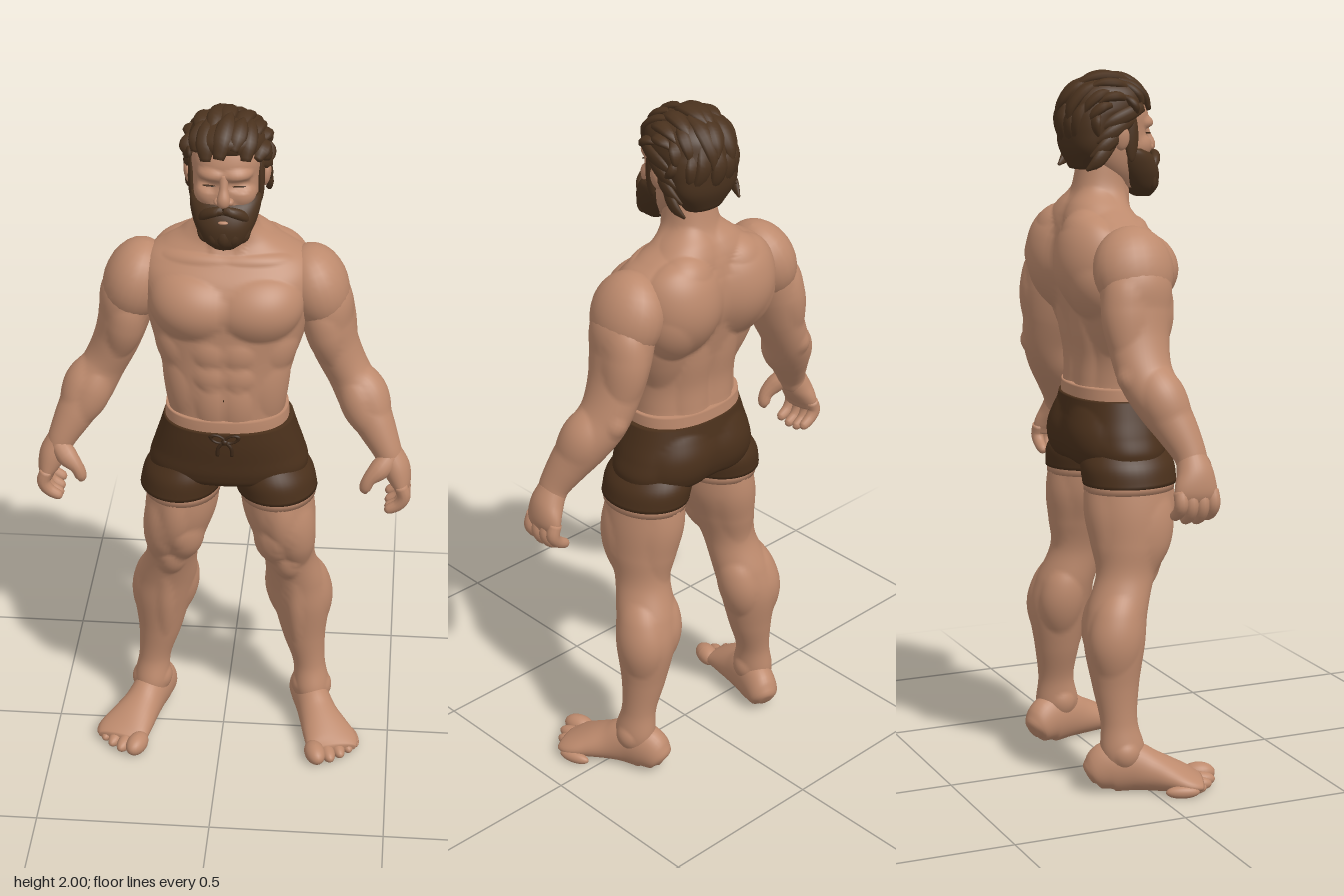
import * as THREE from 'three';

const mat = (name, color) => Object.assign(new THREE.MeshStandardMaterial({ color }), { name });
const V = (x, y, z) => new THREE.Vector3(x, y, z);

// Smooth skin through cross-sections [x, y, z, rx, rz, squareness]; flat keeps the rings level.
function loft(sections, { around = 24, along = 24, flat = false, bumps = [] } = {}) {
  const curve = (f) => new THREE.CatmullRomCurve3(sections.map(f), false, 'catmullrom', 0.5);
  const path = curve((s) => V(s[0], s[1], s[2]));
  const size = curve((s) => V(s[3], s[4], s[5] ?? 2));
  const up = Math.sign(sections[sections.length - 1][1] - sections[0][1]);
  const pos = [], idx = [];
  for (let i = 0; i <= along; i++) {
    const c = path.getPoint(i / along), r = size.getPoint(i / along);
    const t = flat ? V(0, up, 0) : path.getTangent(i / along);
    const u = V(1, 0, 0).addScaledVector(t, -t.x).normalize();
    const v = t.clone().cross(u);
    for (let j = 0; j < around; j++) {
      const a = (j / around) * Math.PI * 2;
      const pw = (k) => Math.sign(k) * Math.abs(k) ** (2 / r.z);
      const p = c.clone().addScaledVector(u, pw(Math.cos(a)) * r.x).addScaledVector(v, pw(Math.sin(a)) * r.y);
      pos.push(p.x, p.y, p.z);
      if (i < along) {
        const k = i * around, n = (j + 1) % around;
        idx.push(k + j, k + n, k + around + j, k + n, k + around + n, k + around + j);
      }
    }
  }
  // End caps
  const first = path.getPoint(0), last = path.getPoint(1), e = pos.length / 3, b = along * around;
  pos.push(first.x, first.y, first.z, last.x, last.y, last.z);
  for (let j = 0; j < around; j++) {
    const n = (j + 1) % around;
    idx.push(e, n, j, e + 1, b + j, b + n);
  }
  const g = new THREE.BufferGeometry();
  g.setAttribute('position', new THREE.Float32BufferAttribute(pos, 3));
  g.setIndex(idx);
  g.computeVertexNormals();
  return bumps.length ? flex(g, bumps) : g;
}

// Raise muscles: each bump is [x, y, z, rx, ry, rz, height], the same on both sides of x = 0.
function flex(g, bumps) {
  const p = g.attributes.position, n = g.attributes.normal;
  for (let i = 0; i < p.count; i++) {
    let h = 0;
    for (const [x, y, z, rx, ry, rz, amp] of bumps) {
      const d = ((Math.abs(p.getX(i)) - x) / rx) ** 2 + ((p.getY(i) - y) / ry) ** 2 + ((p.getZ(i) - z) / rz) ** 2;
      h += amp * Math.max(0, 1 - d);
    }
    p.setXYZ(i, p.getX(i) + n.getX(i) * h, p.getY(i) + n.getY(i) * h, p.getZ(i) + n.getZ(i) * h);
  }
  g.computeVertexNormals();
  return g;
}

// Level rings given as [y, half width, front z, back z].
const rings = (rows, n = 2) => rows.map(([y, w, f, b]) => [0, y, (f + b) / 2, w, (f - b) / 2, n]);
const ball = (x, y, z, sx, sy, sz, rz = 0) =>
  new THREE.SphereGeometry(1, 24, 16).scale(sx, sy, sz).rotateZ(rz).translate(x, y, z);

function mirrored(geo) {
  const g = geo.clone().scale(-1, 1, 1), a = g.index.array;
  for (let i = 0; i < a.length; i += 3) [a[i], a[i + 1]] = [a[i + 1], a[i]];
  g.computeVertexNormals();
  return g;
}

export function createModel() {
  const skin = mat('skin', 0xbd8a6d), hair = mat('hair', 0x4a321e);
  const cloth = mat('shorts cloth', 0x4a301b), cord = mat('cord', 0x3a2616);
  const model = new THREE.Group();
  const section = (name, x) => {
    const g = new THREE.Group();
    g.name = name;
    g.position.x = x;
    model.add(g);
    return g;
  };
  const add = (parent, name, geo, m = skin) => {
    const mesh = new THREE.Mesh(geo, m);
    mesh.name = name;
    parent.add(mesh);
  };
  const pair = (parent, name, geo, m = skin) => {
    add(parent, name + 'Left', geo, m);
    add(parent, name + 'Right', mirrored(geo), m);
  };

  // Torso and neck
  const trunk = section('trunk', 0.012);
  add(trunk, 'torso', loft(rings([
    [0.98, 0.16, 0.11, -0.12], [1.08, 0.165, 0.125, -0.12], [1.15, 0.165, 0.13, -0.112], [1.22, 0.172, 0.133, -0.112],
    [1.3, 0.192, 0.133, -0.13], [1.38, 0.215, 0.135, -0.15], [1.46, 0.232, 0.135, -0.168], [1.53, 0.238, 0.11, -0.168],
    [1.575, 0.222, 0.075, -0.16], [1.605, 0.175, 0.05, -0.15], [1.635, 0.122, 0.037, -0.135], [1.675, 0.08, 0.038, -0.112],
    [1.74, 0.068, 0.04, -0.098], [1.8, 0.066, 0.03, -0.09]], 2.3), {
    around: 112, along: 130, flat: true, bumps: [
      [0.112, 1.468, 0.12, 0.122, 0.09, 0.11, 0.031], // chest
      [0.1, 1.593, 0.06, 0.13, 0.014, 0.06, 0.006], // collarbone
      [0.04, 1.335, 0.135, 0.045, 0.04, 0.06, 0.008], [0.04, 1.265, 0.135, 0.045, 0.04, 0.06, 0.009],
      [0.036, 1.175, 0.135, 0.045, 0.07, 0.06, 0.009], // stomach
      [0.14, 1.21, 0.07, 0.06, 0.085, 0.07, 0.01], [0.16, 1.33, 0.07, 0.05, 0.05, 0.06, 0.008],
      [0.125, 1.48, -0.14, 0.125, 0.15, 0.11, 0.05], // shoulder blades
      [0.175, 1.35, -0.09, 0.08, 0.14, 0.1, 0.016], [0.055, 1.2, -0.11, 0.055, 0.18, 0.06, 0.013],
      [0.07, 1.62, -0.1, 0.07, 0.07, 0.09, 0.01], [0.035, 1.66, 0.03, 0.018, 0.08, 0.04, 0.007]] }));
  add(trunk, 'waistFold', loft(rings([[1.08, 0.176, 0.138, -0.13], [1.115, 0.174, 0.138, -0.128], [1.135, 0.172, 0.137, -0.127]], 2.3),
    { around: 64, along: 6, flat: true }));
  add(trunk, 'navel', ball(0, 1.2, 0.131, 0.006, 0.008, 0.004), cord);

  // Shorts
  const shorts = section('shorts', 0.016);
  add(shorts, 'seat', loft(rings([[1.1, 0.182, 0.144, -0.132], [1.05, 0.197, 0.143, -0.14], [1.0, 0.213, 0.138, -0.147],
    [0.95, 0.226, 0.132, -0.142], [0.915, 0.205, 0.115, -0.125], [0.89, 0.1, 0.06, -0.07]], 2.3),
  { around: 72, along: 44, flat: true, bumps: [[0.095, 0.985, -0.14, 0.095, 0.095, 0.1, 0.016]] }), cloth);
  pair(shorts, 'shortsLeg', loft([[0.115, 0.97, -0.003, 0.085, 0.11], [0.127, 0.92, -0.003, 0.113, 0.134], [0.138, 0.865, 0, 0.116, 0.135]],
    { around: 40, along: 12, flat: true }), cloth);
  add(shorts, 'cordKnot', ball(0, 1.078, 0.147, 0.01, 0.01, 0.01), cord);
  pair(shorts, 'cordLoop', new THREE.TorusGeometry(0.015, 0.005, 8, 18).scale(1.3, 0.7, 1).rotateZ(0.35).translate(0.02, 1.087, 0.148), cord);
  pair(shorts, 'cordEnd', loft([[0.003, 1.078, 0.148, 0.005, 0.005], [0.018, 1.06, 0.15, 0.005, 0.005], [0.02, 1.035, 0.15, 0.005, 0.005]],
    { around: 8, along: 10 }), cord);

  // Legs
  const legs = section('legs', 0.02);
  pair(legs, 'leg', loft([
    [0.125, 0.93, 0, 0.098, 0.122], [0.14, 0.8, 0, 0.104, 0.125], [0.158, 0.7, -0.005, 0.09, 0.108], [0.172, 0.61, -0.025, 0.075, 0.085],
    [0.191, 0.51, -0.06, 0.086, 0.086], [0.207, 0.42, -0.075, 0.085, 0.086], [0.217, 0.3, -0.076, 0.064, 0.066],
    [0.234, 0.2, -0.073, 0.048, 0.053], [0.243, 0.12, -0.066, 0.053, 0.064], [0.243, 0.055, -0.065, 0.042, 0.05]], {
    around: 56, along: 110, flat: true, bumps: [
      [0.115, 0.69, 0.07, 0.05, 0.075, 0.08, 0.018], [0.21, 0.72, 0.06, 0.05, 0.11, 0.08, 0.014],
      [0.155, 0.78, 0.12, 0.04, 0.1, 0.06, 0.009], [0.167, 0.61, 0.055, 0.04, 0.05, 0.05, 0.014],
      [0.12, 0.45, -0.11, 0.055, 0.1, 0.08, 0.017], [0.265, 0.46, -0.11, 0.055, 0.12, 0.09, 0.014],
      [0.19, 0.42, 0.01, 0.025, 0.16, 0.04, 0.008], [0.14, 0.75, -0.12, 0.08, 0.14, 0.06, 0.01],
      [0.295, 0.11, -0.07, 0.03, 0.035, 0.04, 0.008], [0.19, 0.12, -0.06, 0.03, 0.035, 0.04, 0.008]] }));
  pair(legs, 'thighFold', loft([[0.135, 0.88, 0, 0.109, 0.13], [0.137, 0.845, 0, 0.109, 0.13]], { around: 40, along: 3, flat: true }));

  // Feet turned outward, soles flattened
  const plant = (g) => {
    g.rotateY(0.31).translate(0.24, 0, -0.07);
    const p = g.attributes.position;
    for (let i = 0; i < p.count; i++) p.setY(i, Math.max(p.getY(i), 0));
    g.computeVertexNormals();
    return g;
  };
  pair(legs, 'foot', plant(loft([
    [0, 0.04, -0.09, 0.02, 0.022], [0, 0.05, -0.075, 0.044, 0.05], [0, 0.07, -0.03, 0.052, 0.074], [0, 0.068, 0.03, 0.053, 0.072],
    [0.003, 0.054, 0.085, 0.059, 0.058], [0.01, 0.041, 0.14, 0.071, 0.045], [0.017, 0.029, 0.19, 0.079, 0.031], [0.016, 0.022, 0.225, 0.066, 0.018]],
  { around: 36, along: 36 })));
  [[-0.045, 0.275, 0.03], [-0.006, 0.27, 0.022], [0.029, 0.256, 0.021], [0.06, 0.237, 0.02], [0.087, 0.214, 0.018]].forEach(([x, tip, r], i) =>
    pair(legs, 'toe' + (i + 1), plant(ball(x, r * 0.85, tip - 0.048, r, r, 0.048))));

  // Arms and hands
  const arms = section('arms', 0.004);
  pair(arms, 'shoulder', ball(0.25, 1.478, -0.045, 0.09, 0.122, 0.113, 0.3));
  pair(arms, 'arm', loft([
    [0.235, 1.53, -0.045, 0.05, 0.07], [0.266, 1.45, -0.045, 0.08, 0.098], [0.284, 1.37, -0.052, 0.073, 0.098], [0.308, 1.29, -0.056, 0.066, 0.087],
    [0.345, 1.21, -0.053, 0.062, 0.077], [0.387, 1.14, -0.028, 0.067, 0.07], [0.427, 1.07, 0.003, 0.055, 0.058], [0.459, 1.01, 0.025, 0.042, 0.046],
    [0.475, 0.97, 0.03, 0.036, 0.042]], {
    around: 40, along: 80, bumps: [
      [0.265, 1.34, 0.04, 0.06, 0.09, 0.06, 0.014], [0.325, 1.37, -0.12, 0.06, 0.1, 0.07, 0.014],
      [0.425, 1.16, -0.02, 0.05, 0.09, 0.07, 0.012], [0.36, 1.13, 0.03, 0.05, 0.08, 0.05, 0.01], [0.36, 1.2, -0.125, 0.03, 0.03, 0.03, 0.008]] }));
  pair(arms, 'palm', loft([[0.465, 1.0, 0.028, 0.038, 0.04], [0.488, 0.955, 0.03, 0.039, 0.053], [0.503, 0.915, 0.026, 0.03, 0.062],
    [0.506, 0.885, 0.024, 0.018, 0.058]], { around: 28, along: 18 }));
  [[0.072, 0.005], [0.04, -0.003], [0.008, 0], [-0.022, 0.012]].forEach(([z, lift], i) =>
    pair(arms, 'finger' + (i + 1), loft([[0.504, 0.915, z, 0.018, 0.018], [0.514, 0.878 + lift / 2, z, 0.019, 0.019],
      [0.5, 0.848 + lift, z, 0.017, 0.017], [0.472, 0.831 + lift, z, 0.014, 0.014], [0.462, 0.826 + lift, z, 0.006, 0.006]], { around: 12, along: 16 })));
  pair(arms, 'thumb', loft([[0.472, 0.995, 0.045, 0.026, 0.026], [0.444, 0.965, 0.068, 0.03, 0.028], [0.415, 0.937, 0.08, 0.02, 0.021],
    [0.404, 0.908, 0.08, 0.017, 0.018], [0.404, 0.892, 0.079, 0.007, 0.007]], { around: 12, along: 16 }));

  // Head and face
  const head = section('head', 0.01);
  add(head, 'skull', loft(rings([[1.68, 0.045, 0.09, 0.0], [1.73, 0.075, 0.103, -0.06], [1.78, 0.089, 0.104, -0.1], [1.84, 0.094, 0.102, -0.12],
    [1.89, 0.097, 0.1, -0.125], [1.94, 0.085, 0.075, -0.11], [1.975, 0.045, 0.03, -0.07]], 2.3), {
    around: 64, along: 60, flat: true, bumps: [[0.04, 1.858, 0.1, 0.048, 0.02, 0.05, 0.014], [0.04, 1.83, 0.1, 0.034, 0.02, 0.05, -0.01],
      [0.06, 1.798, 0.085, 0.035, 0.03, 0.05, 0.011]] }));
  add(head, 'nose', loft([[0, 1.86, 0.098, 0.012, 0.01], [0, 1.825, 0.108, 0.012, 0.012], [0, 1.795, 0.117, 0.018, 0.017], [0, 1.778, 0.112, 0.012, 0.012]],
    { around: 18, along: 18 }));
  pair(head, 'nostril', ball(0.017, 1.789, 0.108, 0.01, 0.01, 0.014));
  pair(head, 'ear', ball(0.104, 1.822, -0.012, 0.013, 0.034, 0.022, -0.15));
  pair(head, 'eyeLine', ball(0.04, 1.829, 0.096, 0.018, 0.002, 0.004, 0.06), cord);

  // Beard
  add(head, 'beard', loft(rings([[1.652, 0.03, 0.116, 0.072], [1.675, 0.06, 0.132, 0.035], [1.715, 0.082, 0.136, 0.0], [1.75, 0.093, 0.124, -0.02],
    [1.775, 0.096, 0.105, -0.025], [1.79, 0.093, 0.082, -0.028]], 2.2), { around: 48, along: 24, flat: true }), hair);
  pair(head, 'moustache', loft([[0, 1.77, 0.122, 0.012, 0.012], [0.025, 1.766, 0.124, 0.013, 0.014], [0.052, 1.75, 0.11, 0.012, 0.014],
    [0.068, 1.725, 0.095, 0.004, 0.004]], { around: 14, along: 16 }), hair);
  pair(head, 'sideburn', ball(0.092, 1.825, 0.022, 0.011, 0.07, 0.02), hair);
  add(head, 'lowerLip', ball(0, 1.737, 0.128, 0.014, 0.005, 0.007));
  for (let i = -2; i <= 2; i++)
    add(head, 'beardLock', loft([[i * 0.028, 1.72, 0.12 - 0.006 * i * i, 0.019, 0.014], [i * 0.024, 1.685, 0.126 - 0.006 * i * i, 0.018, 0.013],
      [i * 0.015, 1.652 + 0.004 * i * i, 0.113 - 0.004 * i * i, 0.004, 0.004]], { around: 10, along: 10 }), hair);

  // Swept-back hair: a cap and overlapping locks that twist toward one side
  add(head, 'hairCap', loft(rings([[1.735, 0.06, -0.04, -0.118], [1.79, 0.099, -0.03, -0.142], [1.84, 0.108, -0.01, -0.147], [1.88, 0.11, 0.03, -0.146],
    [1.905, 0.11, 0.085, -0.142], [1.94, 0.101, 0.095, -0.13], [1.968, 0.078, 0.07, -0.1], [1.985, 0.035, 0.03, -0.05]], 2.2),
  { around: 48, along: 40, flat: true }), hair);
  const lock = (from, to, side, k) => {
    const pts = [0, 0.35, 0.7, 1].map((s, i) => {
      const phi = from + (to - from) * s, lam = side + (0.16 + 0.14 * Math.sin(k * 2.3)) * s;
      const r = 0.96 + (0.085 + 0.025 * Math.sin(k * 5.1)) * s;
      return [0.111 * r * Math.sin(lam), 1.87 + 0.121 * r * Math.cos(lam) * Math.sin(phi), -0.018 + 0.13 * r * Math.cos(lam) * Math.cos(phi),
        [0.014, 0.027, 0.022, 0.003][i], [0.01, 0.015, 0.012, 0.003][i]];
    });
    return loft(pts, { around: 10, along: 14 });
  };
  [[0.35, 1.45], [1.1, 2.3], [1.9, 3.1], [2.7, 3.9]].forEach(([from, to], row) => {
    for (let i = 0; i < 7; i++)
      add(head, 'hairLock', lock(from + 0.15 * Math.sin(i * 2 + row), to + 0.15 * Math.sin(i * 3 + row), (i - 3.4 + (row % 2) * 0.4) * 0.34, i + row * 1.7), hair);
  });
  for (let i = 0; i < 4; i++)
    pair(head, 'sideLock', loft([[0.094, 1.905 - i * 0.03, 0.055 - i * 0.028, 0.006, 0.014], [0.108, 1.89 - i * 0.034, 0.012 - i * 0.025, 0.01, 0.02],
      [0.11, 1.868 - i * 0.036, -0.04 - i * 0.016, 0.009, 0.018], [0.1, 1.845 - i * 0.036, -0.08 - i * 0.012, 0.003, 0.004]], { around: 10, along: 12 }), hair);
  return model;
}
